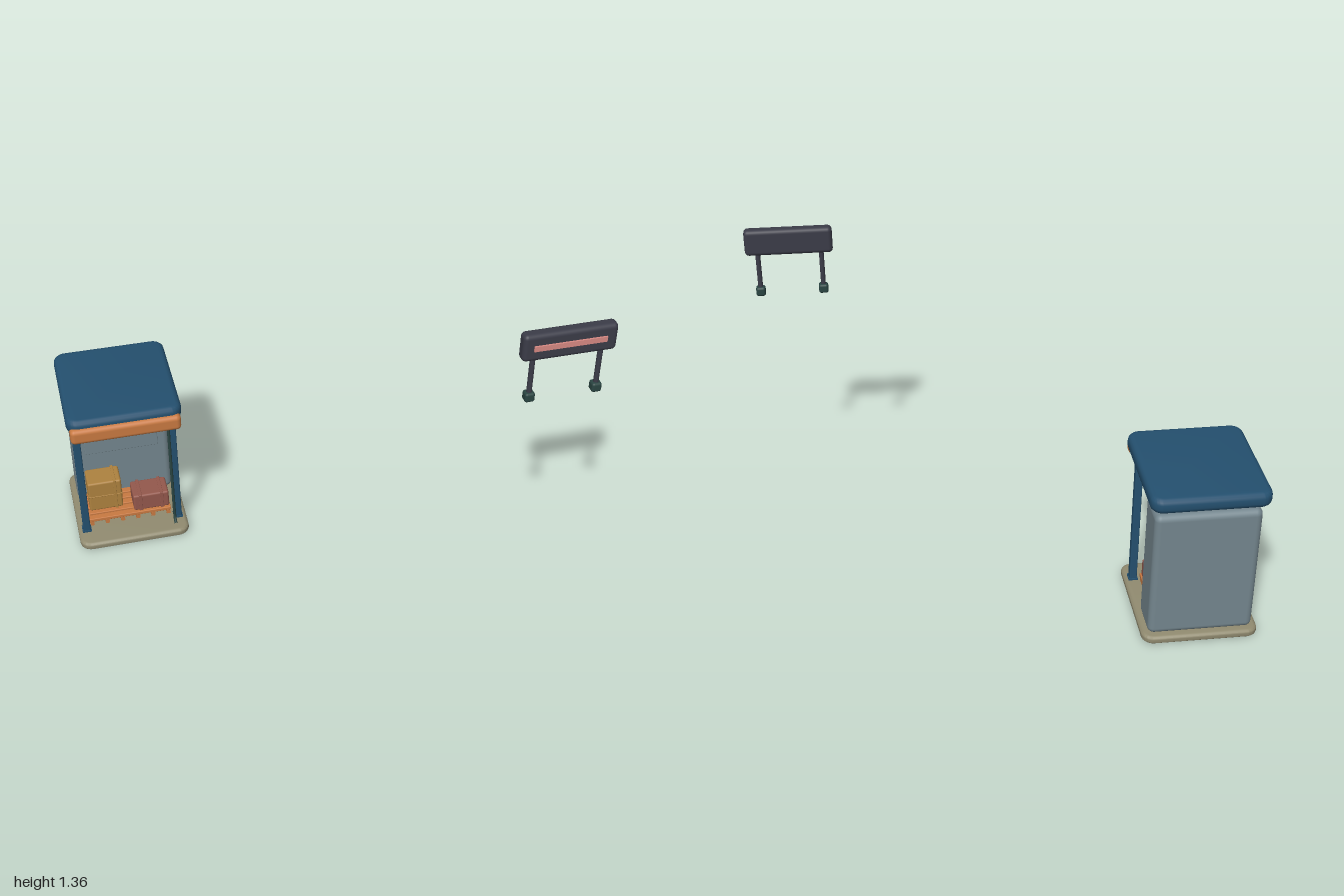
import * as THREE from 'three';
import { toCreasedNormals } from 'three/addons/utils/BufferGeometryUtils.js';
import { RoundedBoxGeometry } from 'three/addons/geometries/RoundedBoxGeometry.js';

const paint = (name, color) => {
  const m = new THREE.MeshStandardMaterial({ color });
  m.name = name;
  return m;
};

export function createModel() {
  const blue = paint('deep blue', 0x24506f);
  const orange = paint('orange', 0xc97a42);
  const grey = paint('slate grey', 0x74868e);
  const stone = paint('stone', 0x918b70);
  const tan = paint('tan', 0xae823f);
  const brick = paint('brick red', 0x94584c);
  const charcoal = paint('charcoal', 0x3b3c48);
  const green = paint('dark green', 0x2a4542);
  const pink = paint('pale red', 0xd88a84);

  const model = new THREE.Group();
  model.name = 'kioskAndSign';
  const group = (name) => {
    const g = new THREE.Group();
    g.name = name;
    model.add(g);
    return g;
  };
  const add = (parent, name, geometry, material, x = 0, y = 0, z = 0) => {
    const mesh = new THREE.Mesh(geometry, material);
    mesh.name = name;
    mesh.position.set(x, y, z);
    parent.add(mesh);
    return mesh;
  };
  // Box given by its min and max on each axis, with softened edges
  const block = (parent, name, material, [x0, x1], [y0, y1], [z0, z1], r = 0) => {
    const s = [x1 - x0, y1 - y0, z1 - z0];
    const geo = r ? new RoundedBoxGeometry(...s, 3, r) : new THREE.BoxGeometry(...s);
    return add(parent, name, geo, material, (x0 + x1) / 2, (y0 + y1) / 2, (z0 + z1) / 2);
  };
  // Horizontal slab with rounded plan corners and bevelled rims
  const slab = (parent, name, material, [x0, x1], [y0, y1], [z0, z1], r, b) => {
    const w = (x1 - x0) / 2 - b, d = (z1 - z0) / 2 - b, q = r - b;
    const s = new THREE.Shape();
    s.absarc(w - q, d - q, q, 0, Math.PI / 2);
    s.absarc(-w + q, d - q, q, Math.PI / 2, Math.PI);
    s.absarc(-w + q, -d + q, q, Math.PI, Math.PI * 1.5);
    s.absarc(w - q, -d + q, q, Math.PI * 1.5, Math.PI * 2);
    s.closePath();
    const geo = new THREE.ExtrudeGeometry(s, {
      depth: y1 - y0 - 2 * b, bevelThickness: b, bevelSize: b, bevelSegments: 3, curveSegments: 6,
    });
    geo.rotateX(-Math.PI / 2);
    add(parent, name, toCreasedNormals(geo, 0.6), material, (x0 + x1) / 2, y0 + b, (z0 + z1) / 2);
  };

  // Kiosk shell
  const kiosk = group('kiosk');
  slab(kiosk, 'base', stone, [-1, -0.52], [0, 0.035], [-0.64, -0.125], 0.05, 0.014);
  slab(kiosk, 'roof', blue, [-1, -0.52], [0.64, 0.705], [-0.648, -0.115], 0.05, 0.022);
  block(kiosk, 'awning', orange, [-0.99, -0.53], [0.603, 0.674], [-0.152, -0.097], 0.02);
  block(kiosk, 'cabinet', grey, [-0.975, -0.545], [0.03, 0.605], [-0.612, -0.437], 0.027);
  block(kiosk, 'cabinetPanel', grey, [-0.922, -0.598], [0.29, 0.44], [-0.438, -0.43], 0.003);

  // Front posts with foot plates, and ceiling lamps
  const middle = -0.76;
  for (const side of [-1, 1]) {
    const x = middle + side * 0.203;
    block(kiosk, 'post', blue, [x - 0.016, x + 0.016], [0.03, 0.65], [-0.247, -0.215], 0.005);
    block(kiosk, 'postFoot', blue, [x - 0.02, x + 0.02], [0.033, 0.042], [-0.252, -0.21]);
    add(kiosk, 'ceilingLamp', new THREE.CylinderGeometry(0.022, 0.022, 0.008, 20), orange,
      middle + side * 0.14, 0.637, -0.272);
  }

  // Drainpipe with a kicked-out foot
  const pipe = new THREE.CurvePath();
  const p = (y, z) => new THREE.Vector3(-0.576, y, z);
  pipe.add(new THREE.LineCurve3(p(0.65, -0.195), p(0.075, -0.195)));
  pipe.add(new THREE.QuadraticBezierCurve3(p(0.075, -0.195), p(0.05, -0.195), p(0.037, -0.172)));
  add(kiosk, 'drainpipe', new THREE.TubeGeometry(pipe, 40, 0.0065, 8), green);

  // Pallet
  const pallet = group('pallet');
  for (let i = 0; i < 6; i++) {
    const x = -0.935 + i * 0.068;
    block(pallet, 'runner', orange, [x - 0.009, x + 0.009], [0.034, 0.055], [-0.435, -0.25]);
  }
  for (let i = 0; i < 5; i++) {
    const z = -0.265 - i * 0.0385;
    block(pallet, 'slat', orange, [-0.945, -0.583], [0.054, 0.07], [z - 0.015, z + 0.015], 0.003);
  }

  // Parcels with raised bands of the same colour
  const parcels = group('parcels');
  block(parcels, 'tallParcel', tan, [-0.935, -0.787], [0.07, 0.221], [-0.416, -0.305], 0.009);
  block(parcels, 'tallParcelBand', tan, [-0.822, -0.81], [0.069, 0.223], [-0.418, -0.303], 0.002);
  block(parcels, 'tallParcelBelt', tan, [-0.937, -0.785], [0.144, 0.15], [-0.418, -0.303], 0.002);
  block(parcels, 'lowParcel', brick, [-0.745, -0.587], [0.07, 0.152], [-0.372, -0.26], 0.009);
  for (const x of [-0.713, -0.619]) {
    block(parcels, 'lowParcelBand', brick, [x - 0.007, x + 0.007], [0.069, 0.154], [-0.374, -0.258], 0.002);
  }

  // Freestanding sign
  const sign = group('sign');
  block(sign, 'signBoard', charcoal, [0.63, 1], [1.24, 1.355], [0.59, 0.643], 0.018);
  block(sign, 'signStrip', pink, [0.67, 0.955], [1.289, 1.311], [0.642, 0.65]);
  for (const x of [0.68, 0.948]) {
    add(sign, 'signLeg', new THREE.CylinderGeometry(0.0105, 0.0105, 0.18, 14), charcoal, x, 1.165, 0.617);
    block(sign, 'signFoot', green, [x - 0.02, x + 0.02], [1.05, 1.09], [0.597, 0.637], 0.01);
  }
  return model;
}
